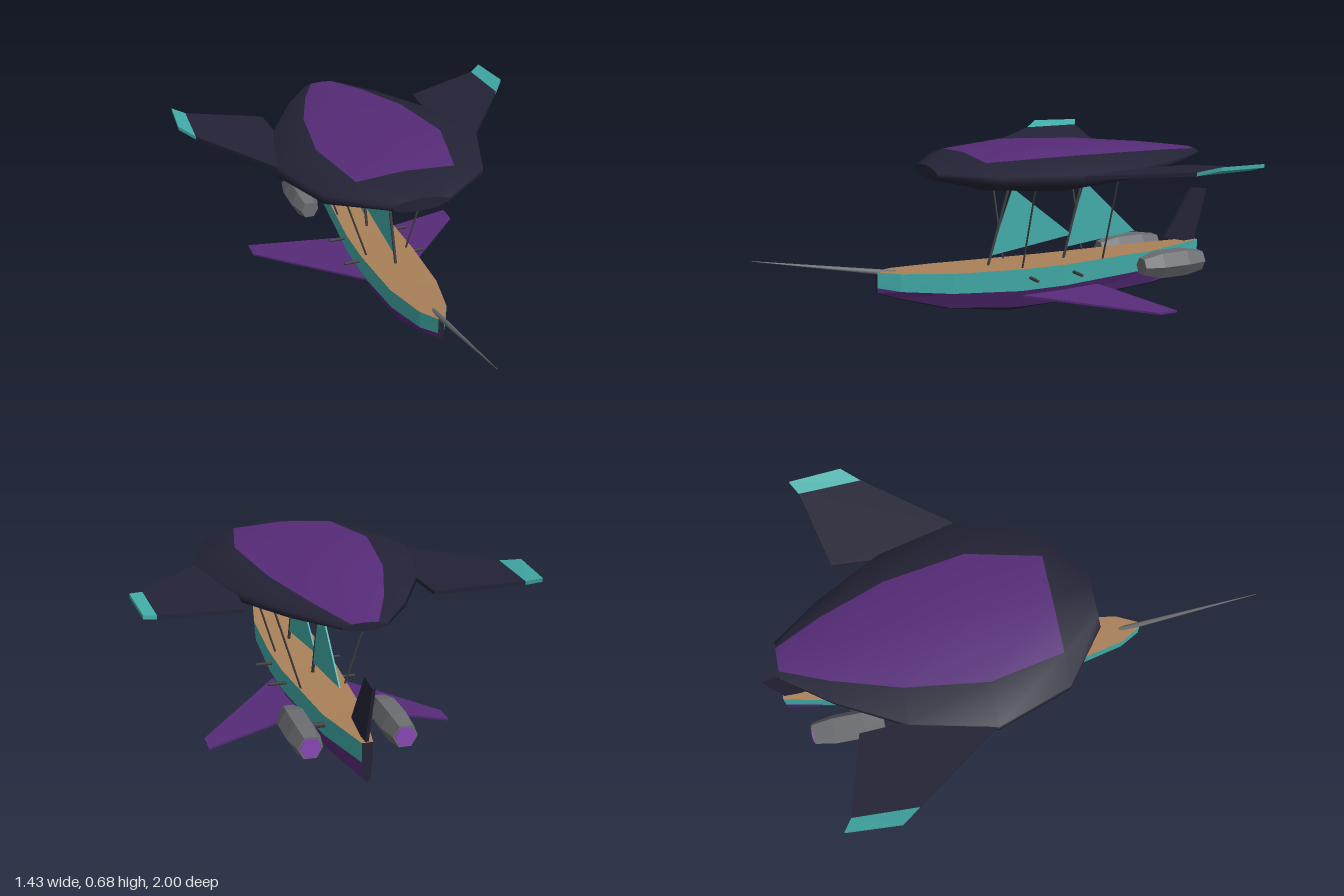
import * as THREE from 'three';

const mat = (name, color) => {
  const m = new THREE.MeshStandardMaterial({ color });
  m.name = name;
  return m;
};

// Skins rings of points (counter-clockwise seen from the first ring's end).
// pick(band, side) gives a material index; caps use capIndex.
function loft(rings, materials, pick = () => 0, capIndex = 0, smooth = false) {
  const n = rings[0].length;
  const verts = rings.flat();
  const lists = materials.map(() => []);
  for (let i = 0; i < rings.length - 1; i++) {
    for (let k = 0; k < n; k++) {
      const a = i * n + k, b = i * n + (k + 1) % n;
      lists[pick(i, k)].push(a, a + n, b + n, a, b + n, b);
    }
  }
  // End caps with their own vertices so that the rims stay sharp
  const first = verts.length;
  verts.push(...rings[0], ...rings[rings.length - 1]);
  for (let k = 1; k < n - 1; k++) {
    lists[capIndex].push(first, first + k, first + k + 1);
    lists[capIndex].push(first + n, first + n + k + 1, first + n + k);
  }
  let geo = new THREE.BufferGeometry();
  geo.setAttribute('position', new THREE.Float32BufferAttribute(verts.flat(), 3));
  geo.setIndex(lists.flat());
  let start = 0;
  lists.forEach((list, m) => {
    geo.addGroup(start, list.length, m);
    start += list.length;
  });
  if (!smooth) geo = geo.toNonIndexed();
  geo.computeVertexNormals();
  return new THREE.Mesh(geo, materials);
}

// Flat panel: outline pushed out both ways along an offset
function plate(points, offset, material) {
  const shift = s => points.map(p => p.map((v, i) => v + s * offset[i]));
  return loft([shift(1), shift(-1)], [material]);
}

const mirrored = (points, side) =>
  side > 0 ? points : points.map(([x, y, z]) => [-x, y, z]).reverse();

// Round bar between two points
function rod(from, to, r0, r1, material, sides = 6) {
  const a = new THREE.Vector3(...from), b = new THREE.Vector3(...to);
  const dir = b.clone().sub(a);
  const mesh = new THREE.Mesh(new THREE.CylinderGeometry(r1, r0, dir.length(), sides), material);
  mesh.position.copy(a).add(b).multiplyScalar(0.5);
  mesh.quaternion.setFromUnitVectors(new THREE.Vector3(0, 1, 0), dir.normalize());
  return mesh;
}

export function createModel() {
  const model = new THREE.Group();
  const add = (name, mesh) => {
    mesh.name = name;
    model.add(mesh);
    return mesh;
  };
  const navy = mat('navy', 0x232336);
  const purple = mat('purple', 0x562b78);
  const teal = mat('teal', 0x42aca8);
  const wood = mat('wood', 0xaa8159);
  const grey = mat('grey', 0x6a6c70);
  const darkMetal = mat('dark metal', 0x3c3e40);
  const glow = mat('exhaust purple', 0x8a48b8);

  // Gas envelope: [z, half width, top, bottom]
  const outline = [[0, -1], [0.62, -0.8], [1, -0.27], [1, 0.27], [0.62, 0.8],
    [0, 1], [-0.62, 0.8], [-1, 0.27], [-1, -0.27], [-0.62, -0.8]];
  const envelope = [
    [0.31, 0.11, 0.622, 0.57], [0.15, 0.32, 0.66, 0.53], [-0.14, 0.42, 0.676, 0.51],
    [-0.46, 0.345, 0.662, 0.522], [-0.72, 0.205, 0.637, 0.552], [-0.9, 0.075, 0.612, 0.582],
  ].map(([z, w, top, low]) => outline.map(([x, y]) =>
    [x * w, (top + low) / 2 + y * (top - low) / 2, z]));
  add('envelope', loft(envelope, [navy, purple],
    (band, k) => (band > 0 && [4, 5, 8].includes(k) ? 1 : 0), 0, true));

  // Hull: [z, half width, keel, chine, wale, gunwale]
  const hull = [
    [0.52, 0.012, 0.14, 0.143, 0.163, 0.225], [0.44, 0.055, 0.11, 0.118, 0.148, 0.219],
    [0.24, 0.096, 0.045, 0.06, 0.125, 0.206], [-0.05, 0.11, 0, 0.028, 0.104, 0.194],
    [-0.25, 0.108, 0.004, 0.028, 0.102, 0.19], [-0.68, 0.075, 0.028, 0.048, 0.115, 0.194],
    [-0.95, 0.02, 0.056, 0.07, 0.132, 0.204],
  ].map(([z, w, keel, chine, wale, rail]) => [
    [0, keel, z], [w * 0.6, chine, z], [w * 0.94, wale, z], [w, rail, z],
    [-w, rail, z], [-w * 0.94, wale, z], [-w * 0.6, chine, z]]);
  const hullSides = [0, 1, 2, 3, 2, 1, 0];
  add('hull', loft(hull, [navy, purple, teal, wood], (band, k) => hullSides[k], 0));

  // Rudder and bowsprit
  add('rudder', plate([[0, 0.225, -0.79], [0, 0.19, -0.94], [0, 0.42, -1], [0, 0.43, -0.92]],
    [0.006, 0, 0], navy));
  add('bowsprit', rod([0, 0.21, 0.44], [0, 0.32, 1], 0.012, 0.001, grey));

  // Sails with raked masts
  const sails = [
    [[0, 0.5, -0.065], [0, 0.235, 0.035], [0, 0.285, -0.335]],
    [[0, 0.5, -0.395], [0, 0.235, -0.31], [0, 0.27, -0.64]],
  ];
  for (const s of sails) add('sail', plate(s, [0.003, 0, 0], teal));
  add('mast', rod([0, 0.19, 0.047], [0, 0.53, -0.055], 0.006, 0.006, darkMetal));
  add('mast', rod([0, 0.185, -0.298], [0, 0.53, -0.39], 0.006, 0.006, darkMetal));

  for (const side of [1, -1]) {
    // Envelope wing with a raised tip
    add('wing', plate(mirrored([[0.41, 0.6, -0.14], [0.66, 0.628, -0.476], [0.65, 0.628, -0.72],
      [0.34, 0.595, -0.645], [0.33, 0.593, -0.45]], side), [0, 0.007, 0], navy));
    add('wingTip', plate(mirrored([[0.66, 0.628, -0.476], [0.714, 0.65, -0.545],
      [0.7, 0.645, -0.75], [0.65, 0.628, -0.72]], side), [0, 0.007, 0], teal));

    // Hull fin
    add('hullFin', plate(mirrored([[0.08, 0.08, -0.05], [0.458, 0.048, -0.47],
      [0.458, 0.048, -0.55], [0.08, 0.08, -0.42]], side), [0, 0.004, 0], purple));

    // Struts between deck and envelope, and the guns
    for (const z of [-0.065, -0.435])
      add('strut', rod([side * 0.085, 0.19, z], [side * 0.192, 0.53, z], 0.004, 0.004, darkMetal));
    for (const z of [-0.09, -0.29])
      add('gun', rod([side * 0.09, 0.155, z], [side * 0.172, 0.155, z], 0.007, 0.006, darkMetal));

    // Hexagonal engine, its exhaust and mounting arm
    const rings = [[-0.57, 0.038], [-0.65, 0.06], [-0.77, 0.06], [-0.855, 0.045]].map(([z, r]) =>
      Array.from({ length: 6 }, (_, i) => {
        const a = i * Math.PI / 3;
        return [side * 0.17 + r * Math.cos(a), 0.16 + r * Math.sin(a), z];
      }));
    add('engine', loft(rings, [grey]));
    const exhaust = add('exhaust', new THREE.Mesh(new THREE.CylinderGeometry(0.039, 0.039, 0.008, 6), glow));
    exhaust.rotation.set(Math.PI / 2, Math.PI / 6, 0);
    exhaust.position.set(side * 0.17, 0.16, -0.856);
    add('engineArm', rod([side * 0.05, 0.16, -0.69], [side * 0.13, 0.16, -0.69], 0.01, 0.01, darkMetal));
  }
  return model;
}
